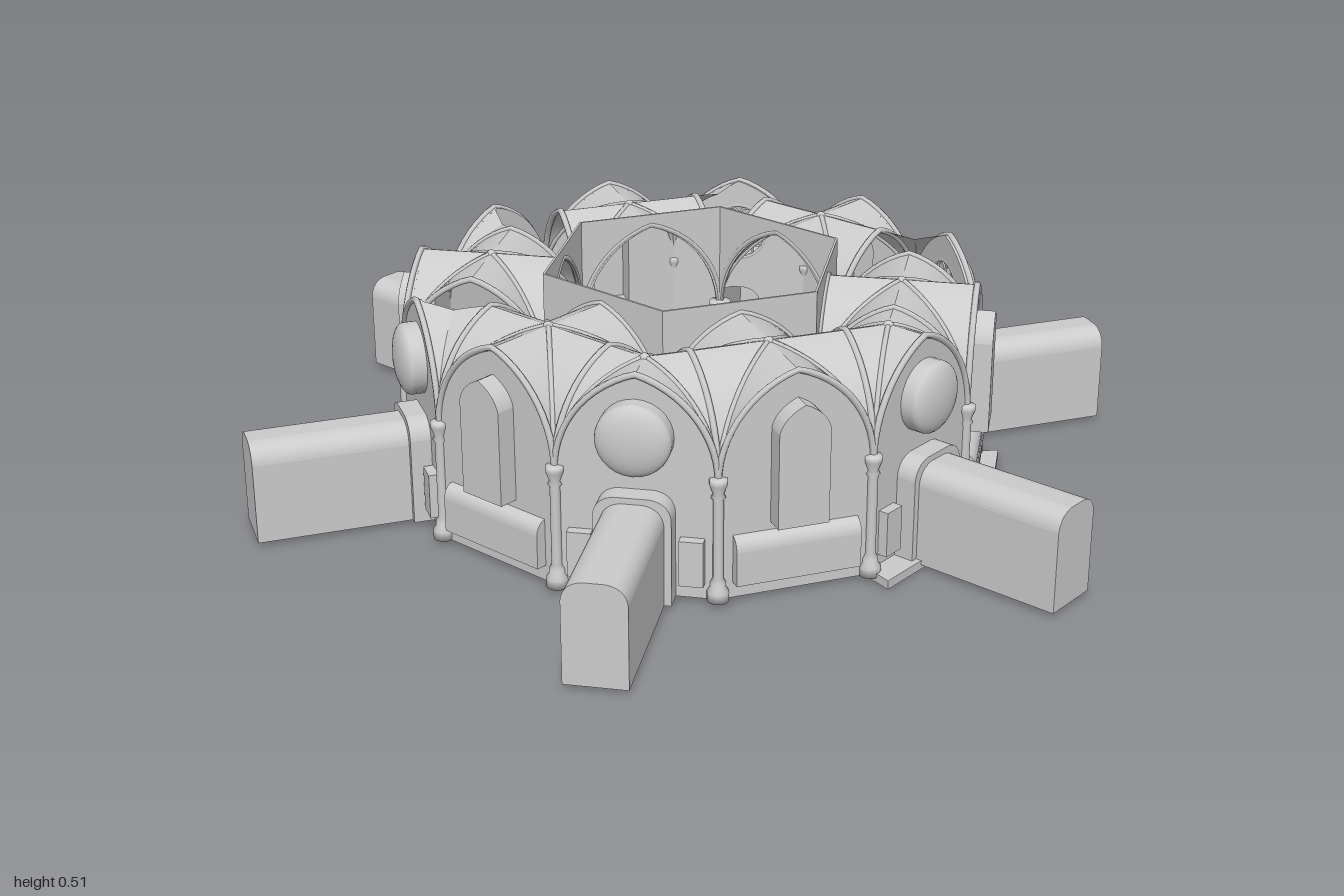
import * as THREE from 'three';
import { ParametricGeometry } from 'three/addons/geometries/ParametricGeometry.js';

const V = (x, y, z) => new THREE.Vector3(x, y, z);
const mat = new THREE.MeshStandardMaterial({ color: 0xcccccc, side: THREE.DoubleSide });
const OUT = 0.643, INN = 0.342, WALL = 0.621, HALF = 0.166;
const BASE = 0.01, SPRING = 0.27, RISE = 0.22;
const rad = Math.PI / 180;

function add(parent, name, geo, x = 0, y = 0, z = 0) {
  const m = new THREE.Mesh(geo, mat);
  m.name = name;
  m.position.set(x, y, z);
  parent.add(m);
  return m;
}
const extrude = (shape, depth) =>
  new THREE.ExtrudeGeometry(shape, { depth, bevelEnabled: false, curveSegments: 10 });
const polar = (r, deg) => V(r * Math.cos(deg * rad), 0, r * Math.sin(deg * rad));

// Height of a pointed arch; t = 0 at the apex, 1 at the springing
const R = (HALF ** 2 + RISE ** 2) / (2 * HALF);
const archY = t => SPRING + Math.sqrt(Math.max(0, R * R - (Math.abs(t) * HALF + R - HALF) ** 2));

// Pointed arch outline with straight jambs
function archPoints(w, bottom) {
  const pts = [new THREE.Vector2(-w, bottom)];
  for (let i = 0; i <= 24; i++) {
    const t = -Math.cos(i / 24 * Math.PI);
    pts.push(new THREE.Vector2(t * w, archY(t)));
  }
  pts.push(new THREE.Vector2(w, bottom));
  return pts;
}
function lancet(w, bottom, spring, top) {
  const s = new THREE.Shape();
  s.moveTo(-w, bottom); s.lineTo(w, bottom); s.lineTo(w, spring);
  s.quadraticCurveTo(w * 0.85, (spring + top) / 2 + 0.008, 0, top);
  s.quadraticCurveTo(-w * 0.85, (spring + top) / 2 + 0.008, -w, spring);
  s.closePath();
  return s;
}
function passage(w, bottom, top) {
  const r = 0.042, s = new THREE.Shape();
  s.moveTo(-w, bottom); s.lineTo(w, bottom); s.lineTo(w, top - r);
  s.quadraticCurveTo(w * 0.95, top - 0.006, w - r, top);
  s.lineTo(r - w, top);
  s.quadraticCurveTo(-w * 0.95, top - 0.006, -w, top - r);
  s.closePath();
  return s;
}
// Hollow extrusion, open towards the hall and capped at its outer end
function hollow(parent, name, outer, inner, z0, z1) {
  const cap = extrude(outer.clone(), 0.006);
  outer.holes.push(inner);
  add(parent, name, extrude(outer, z1 - z0 - 0.006), 0, 0, z0);
  add(parent, name + 'End', cap, 0, 0, z1 - 0.006);
}

// Smooth half cell of a groin vault: corner A, arch midpoint M, crown C
function vaultCell(parent, A, M, C) {
  const geo = new ParametricGeometry((u, v, p) => {
    const t = (1 - u) * Math.sin(v * Math.PI / 2);
    p.copy(M).lerp(C, u).addScaledVector(A.clone().sub(M), t);
    p.y = archY(t);
  }, 10, 12);
  geo.computeVertexNormals();
  add(parent, 'vaultCell', geo);
}
function rib(parent, A, B, height, r = 0.007) {
  const pts = [];
  for (let i = 0; i <= 18; i++) {
    const s = (1 - Math.cos(i / 18 * Math.PI)) / 2, p = A.clone().lerp(B, s);
    p.y = height(s);
    pts.push(p);
  }
  add(parent, 'vaultRib', new THREE.TubeGeometry(new THREE.CatmullRomCurve3(pts), 26, r, 6));
}
const edgeRib = (g, A, B) => rib(g, A, B, s => archY(2 * s - 1));

function vault(parent, corners) {
  const C = V(0, 0, 0);
  corners.forEach(c => C.addScaledVector(c, 1 / corners.length));
  corners.forEach((A, i) => {
    const B = corners[(i + 1) % corners.length], M = A.clone().lerp(B, 0.5);
    vaultCell(parent, A, M, C);
    vaultCell(parent, B, M, C);
    edgeRib(parent, A, B);
    rib(parent, A, C, s => archY(1 - s), 0.006);
  });
  add(parent, 'vaultBoss', new THREE.SphereGeometry(0.012, 12, 8), C.x, archY(0) - 0.004, C.z);
}

// Corner springer of an unfinished vault between the two arches leaving A
function springer(parent, A, B, D) {
  const e1 = B.clone().sub(A), e2 = D.clone().sub(A);
  [[e1, e2], [e2, e1]].forEach(([p, q]) => {
    const geo = new ParametricGeometry((u, v, o) => {
      const d = u * u * 0.5, b = d * v / 2, a = d - b;
      o.copy(A).addScaledVector(p, a).addScaledVector(q, b);
      o.y = archY(1 - 2 * (a + b / 2));
    }, 12, 6);
    geo.computeVertexNormals();
    add(parent, 'vaultSpringer', geo);
  });
}

function column(parent, p, r) {
  const profile = [[0, BASE], [2.1, BASE], [2.1, 0.03], [1.5, 0.04], [1.5, 0.05], [1, 0.06], [1, 0.235],
    [1.4, 0.24], [1, 0.248], [1.7, 0.268], [1.7, 0.28], [0, 0.285]]
    .map(([k, y]) => new THREE.Vector2(k * r, y));
  add(parent, 'column', new THREE.LatheGeometry(profile, 12), p.x, 0, p.z);
}

function sideGroup(root, name, deg) {
  const g = new THREE.Group();
  g.name = name;
  g.rotation.y = (90 - deg) * rad;
  root.add(g);
  return g;
}

// Wall with lancet window niche and a long bench niche below
function windowSide(g, scalloped) {
  const wall = new THREE.Shape(archPoints(HALF, BASE));
  wall.holes.push(lancet(0.045, 0.18, 0.37, 0.42));
  add(g, 'windowWall', extrude(wall, 0.012), 0, 0, WALL - 0.012);
  hollow(g, 'lancetWindow', lancet(0.055, 0.168, 0.375, 0.432), lancet(0.045, 0.18, 0.37, 0.42), WALL - 0.005, 0.664);
  const s = new THREE.Shape();
  s.moveTo(0, 0.045); s.lineTo(0.024, 0.045); s.lineTo(0.024, 0.12);
  s.quadraticCurveTo(0.022, 0.145, 0, 0.15);
  const bench = add(g, 'outerBench', extrude(s, 0.27), 0.135, 0, WALL);
  bench.rotation.y = -Math.PI / 2;
  add(g, 'innerBench', new THREE.BoxGeometry(0.26, 0.06, 0.05), 0, 0.045, WALL - 0.037);
  if (scalloped) {
    for (let i = 0; i < 8; i++) {
      const a = add(g, 'scallop', new THREE.TorusGeometry(0.016, 0.004, 6, 10, Math.PI), (i - 3.5) * 0.032, 0.11, WALL + 0.024);
      a.rotation.z = Math.PI;
    }
  }
}

// Wall with doorway, corridor and domed round window
function corridorSide(g) {
  const wall = new THREE.Shape(archPoints(HALF, BASE));
  wall.holes.push(passage(0.055, 0.016, 0.215));
  wall.holes.push(new THREE.Path().absarc(0, 0.36, 0.068, 0, Math.PI * 2));
  add(g, 'doorWall', extrude(wall, 0.012), 0, 0, WALL - 0.012);
  hollow(g, 'corridor', passage(0.065, BASE, 0.23), passage(0.058, 0.016, 0.222), WALL, 1);
  const collar = passage(0.08, BASE, 0.243);
  collar.holes.push(passage(0.06, 0.014, 0.226));
  add(g, 'doorCollar', extrude(collar, 0.045), 0, 0, WALL);
  const sill = add(g, 'doorSill', new THREE.CylinderGeometry(0.08, 0.08, 0.006, 24, 1, false, Math.PI / 2, Math.PI), 0, 0.013, WALL - 0.004);
  for (const x of [-0.115, 0.115]) {
    add(g, 'doorPlinth', new THREE.BoxGeometry(0.05, 0.1, 0.024), x, 0.095, WALL + 0.01);
  }
  const drum = add(g, 'roseDrum', new THREE.CylinderGeometry(0.078, 0.078, 0.03, 28, 1, true), 0, 0.36, WALL + 0.012);
  drum.rotation.x = Math.PI / 2;
  const dome = add(g, 'roseDome', new THREE.SphereGeometry(0.078, 28, 8, 0, Math.PI * 2, 0, Math.PI / 2), 0, 0.36, WALL + 0.026);
  dome.rotation.x = Math.PI / 2;
  dome.scale.y = 0.36;
  // Tracery of the round window
  const z = WALL - 0.008;
  for (const r of [0.068, 0.02]) add(g, 'roseRing', new THREE.TorusGeometry(r, 0.005, 6, 28), 0, 0.36, z);
  for (let i = 0; i < 8; i++) {
    const a = i * Math.PI / 4;
    const bar = add(g, 'roseSpoke', new THREE.BoxGeometry(0.03, 0.005, 0.006), Math.cos(a) * 0.033, 0.36 + Math.sin(a) * 0.033, z);
    bar.rotation.z = a;
    const b = a + Math.PI / 8;
    add(g, 'rosePetal', new THREE.TorusGeometry(0.016, 0.003, 5, 14), Math.cos(b) * 0.049, 0.36 + Math.sin(b) * 0.049, z);
  }
}

export function createModel() {
  const root = new THREE.Group();
  root.name = 'vaultedRingHall';

  for (let k = 0; k < 6; k++) {
    // Square bay with window wall
    const d = k * 60, o1 = polar(OUT, d - 15), o2 = polar(OUT, d + 15);
    const i1 = polar(INN, d - 30), i2 = polar(INN, d + 30);
    const bay = sideGroup(root, 'windowSide', d);
    windowSide(bay, k === 0);
    vault(root, [o1, o2, i2, i1]);

    // Thin panel with arched opening facing the court
    const w = INN / 2, panel = new THREE.Shape();
    panel.moveTo(-w, SPRING); panel.lineTo(-w, 0.515); panel.lineTo(w, 0.515); panel.lineTo(w, SPRING);
    archPoints(HALF - 0.004, SPRING).slice(1, -1).reverse().forEach(p => panel.lineTo(p.x, p.y - 0.006));
    add(bay, 'courtPanel', extrude(panel, 0.005), 0, 0, 0.292);
    if (k > 0) add(bay, 'courtPlinth', new THREE.CylinderGeometry(0.033, 0.033, 0.02, 16), 0, 0.02, 0.295);

    // Triangular bay with corridor
    const c = d + 30, side = sideGroup(root, 'corridorSide', c);
    const p1 = polar(OUT, c - 15), p2 = polar(OUT, c + 15), q = polar(INN, c);
    corridorSide(side);
    if (k < 2) vault(root, [p1, p2, q]);
    else {
      springer(root, p1, p2, q);
      edgeRib(root, p1, p2);
    }

    [p1, p2].forEach(p => column(root, p, 0.011));
    column(root, q, 0.015);
    [bay, side].forEach((g, i) => {
      for (const s of i ? [-1, 1] : [0]) {
        add(g, 'wallFooting', new THREE.BoxGeometry(s ? 0.105 : 0.33, 0.025, 0.02), s * 0.112, 0.0225, WALL - 0.018);
      }
    });
  }

  // Floor wedge under two neighbouring bays
  const floor = new THREE.Shape([V(0, 0, 0), polar(0.703, -15), polar(0.703, 15), polar(0.703, 45)]
    .map(p => new THREE.Vector2(p.x, -p.z)));
  add(root, 'floorWedge', extrude(floor, 0.02)).rotation.x = -Math.PI / 2;

  // Step at the court edge
  const step = new THREE.Shape([[0.16, 0], [0.19, -0.065], [0.32, -0.065], [0.32, 0.065], [0.19, 0.065]]
    .map(([x, y]) => new THREE.Vector2(x, y)));
  add(root, 'courtStep', extrude(step, 0.03), 0, 0.02, 0).rotation.x = -Math.PI / 2;
  return root;
}
